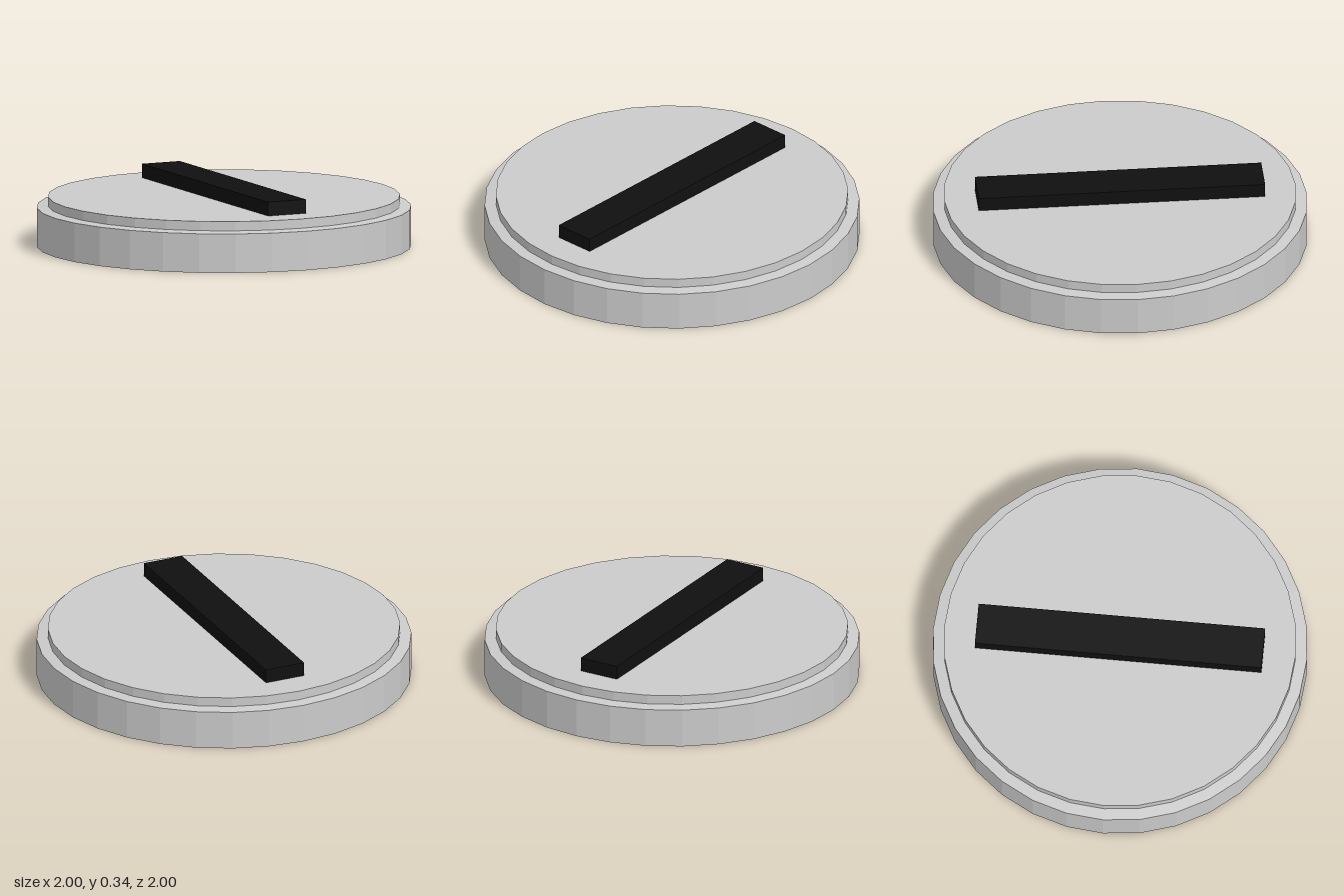
import * as THREE from 'three';

const SIDES = 32;

export function createModel() {
  const model = new THREE.Group();
  const grey = new THREE.MeshStandardMaterial({ color: 0xcccccc, flatShading: true });
  const black = new THREE.MeshStandardMaterial({ color: 0x101010, flatShading: true });

  const add = (name, geometry, material, y) => {
    const mesh = new THREE.Mesh(geometry, material);
    mesh.name = name;
    mesh.position.y = y;
    model.add(mesh);
  };

  // Stepped disc: flat underside, outer wall, gently sloped rim, raised top
  const profile = [
    [0, 0], [1, 0], [1, 0.21], [0.94, 0.218], [0.94, 0.268], [0, 0.268],
  ].map(([r, y]) => new THREE.Vector2(r, y));
  add('disc', new THREE.LatheGeometry(profile, SIDES), grey, 0);

  // Dark bar lying across the top, front to back
  add('bar', new THREE.BoxGeometry(0.224, 0.076, 1.534), black, 0.305);

  return model;
}
